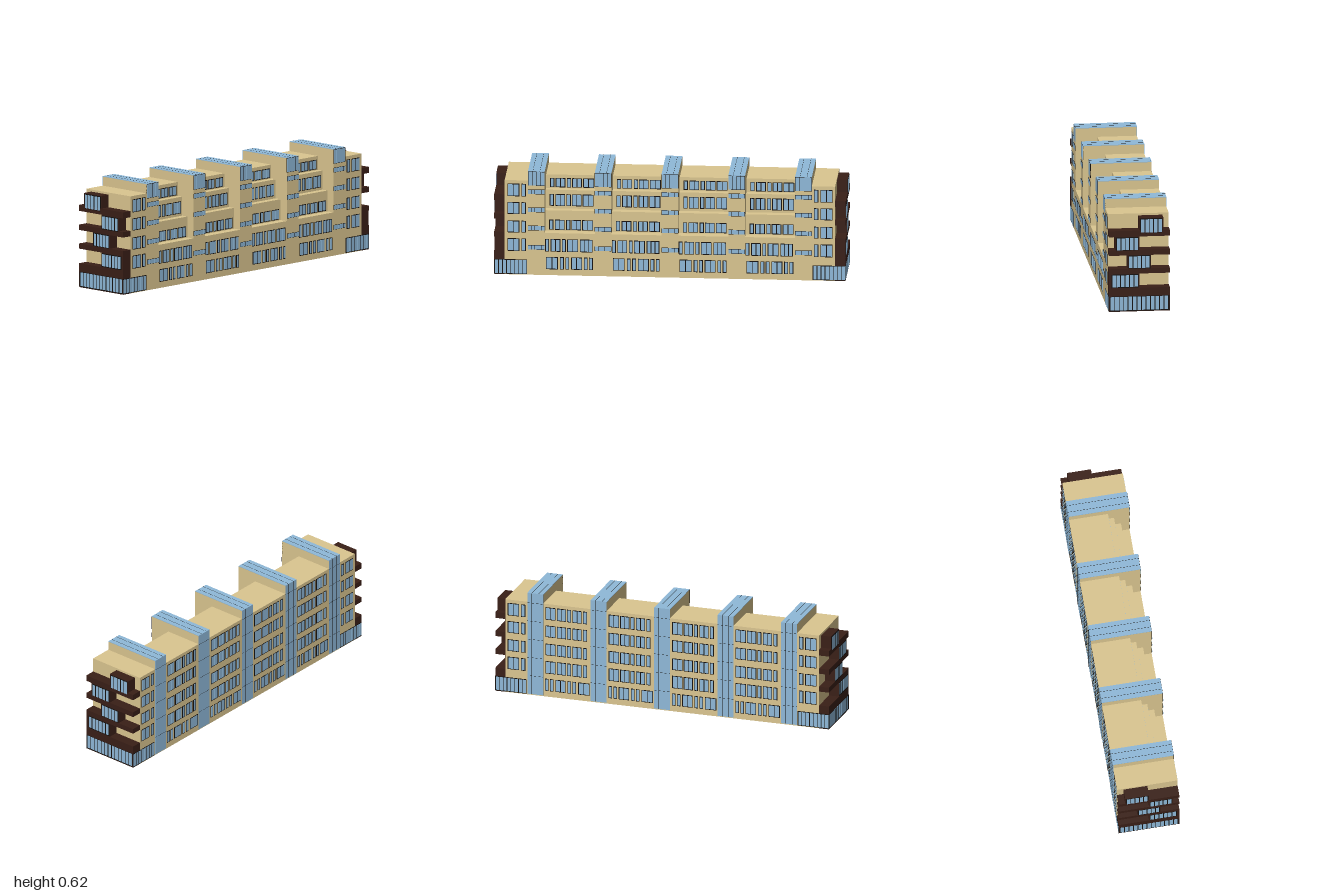
import * as THREE from 'three';
import { mergeGeometries } from 'three/addons/utils/BufferGeometryUtils.js';

const COLORS = { wall: 0xdbc690, cladding: 0x3a1f17, glass: 0x8fb9d9, frame: 0x14100e };
const D = 0.174;        // half depth
const TOWER = 0.0475;   // half width of a stair tower
const END = 0.94;       // where the dark end bays start

export function createModel() {
  const group = new THREE.Group();
  const parts = {};

  // Collects geometry per named part; each part becomes one mesh.
  const add = (name, color, geo) => {
    parts[name] ??= { color, list: [] };
    parts[name].list.push(geo);
  };
  const box = (name, color, x0, x1, y0, y1, z0, z1) => {
    const g = new THREE.BoxGeometry(Math.abs(x1 - x0), y1 - y0, Math.abs(z1 - z0));
    g.translate((x0 + x1) / 2, (y0 + y1) / 2, (z0 + z1) / 2);
    add(name, color, g);
  };

  // Framed window with n panes on a wall facing +z (s = 1) or -z (s = -1)
  const zWindow = (name, x0, x1, y0, y1, z, s, n, bar = 0.004) => {
    box(name + 'Frames', 'frame', x0, x1, y0, y1, z - s * 0.002, z + s * 0.001);
    const w = (x1 - x0 - bar) / n;
    for (let i = 0; i < n; i++) {
      const a = x0 + bar + i * w;
      box(name + 'Panes', 'glass', a, a + w - bar, y0 + bar, y1 - bar, z, z + s * 0.002);
    }
  };
  // The same on an end wall facing +x (s = 1) or -x (s = -1)
  const xWindow = (name, z0, z1, y0, y1, x, s, n, bar = 0.005) => {
    box(name + 'Frames', 'frame', x - s * 0.002, x + s * 0.0005, y0, y1, z0, z1);
    const w = (z1 - z0 - bar) / n;
    for (let i = 0; i < n; i++) {
      const a = z0 + bar + i * w;
      box(name + 'Panes', 'glass', x - s * 0.001, x + s * 0.001, y0 + bar, y1 - bar, a, a + w - bar);
    }
  };

  // Rows of windows: [offset from bay centre, width, panes]
  const groundRow = [[-0.135, 0.068, 2], [-0.055, 0.022, 1], [-0.025, 0.022, 1],
    [0.008, 0.062, 2], [0.08, 0.022, 1], [0.11, 0.022, 1]];
  const upperRow = [[-0.12, 0.024, 1], [-0.088, 0.055, 2], [-0.024, 0.024, 1],
    [0.006, 0.055, 2], [0.068, 0.062, 2]];
  const secondRow = [[-0.14, 0.022, 1], [-0.108, 0.055, 2], [-0.044, 0.022, 1],
    [-0.014, 0.062, 2], [0.058, 0.072, 3]];
  const row = (pattern, cx, y0, y1, z, s) => pattern.forEach(([o, w, n]) =>
    zWindow('bayWindow', cx + o, cx + o + w, y0, y1, z, s, n));

  // Terraced bays: stepped section extruded between the towers
  const steps = [[-D, 0], [D, 0], [D, 0.25], [0.125, 0.25], [0.125, 0.37],
    [0.085, 0.37], [0.085, 0.48], [0.05, 0.48], [0.05, 0.56], [-D, 0.56]];
  const section = new THREE.Shape(steps.map(([z, y]) => new THREE.Vector2(-z, y)));
  const backLevels = [[0.035, 0.108], [0.14, 0.215], [0.25, 0.32], [0.36, 0.43], [0.465, 0.54]];
  for (const cx of [-0.57, -0.19, 0.19, 0.57]) {
    const g = new THREE.ExtrudeGeometry(section, { depth: 0.285, bevelEnabled: false });
    g.rotateY(Math.PI / 2);
    g.translate(cx - 0.1425, 0, 0);
    add('terracedBays', 'wall', g);

    row(groundRow, cx, 0.035, 0.108, D, 1);
    row(secondRow, cx, 0.14, 0.215, D, 1);
    row(upperRow, cx, 0.255, 0.315, 0.125, 1);
    row(upperRow, cx, 0.385, 0.455, 0.085, 1);
    row(upperRow, cx, 0.485, 0.54, 0.05, 1);
    backLevels.forEach(([y0, y1], i) => row(i ? upperRow : groundRow, cx, y0, y1, -D, -1));
  }

  // Stair towers with glazed tops, glazed rear strips and front railings
  for (let i = -2; i <= 2; i++) {
    const x = i * 0.38, a = x - TOWER, b = x + TOWER;
    box('towers', 'wall', a, b, 0, 0.612, -D, D);
    box('towerRoofGlass', 'glass', a, b, 0.612, 0.615, -D, D);
    zWindow('towerFront', a, b, 0.53, 0.613, D, 1, 4, 0.002);
    box('towerRearGlass', 'glass', a, b, 0.005, 0.615, -D - 0.002, -D);
    for (const o of [-0.02, 0.02]) {
      box('towerMullions', 'frame', x + o - 0.0007, x + o + 0.0007, 0.005, 0.615, -D - 0.0026, -D);
      box('towerMullions', 'frame', x + o - 0.0007, x + o + 0.0007, 0.613, 0.6155, -D, D);
    }
    for (const y of [0.115, 0.225, 0.335, 0.445, 0.555]) {
      box('towerMullions', 'frame', a, b, y, y + 0.0012, -D - 0.0026, -D);
    }
    for (const y of [0.15, 0.265, 0.373, 0.48]) {
      zWindow('railing', a, b, y, y + 0.027, D + 0.002, 1, 5, 0.0016);
    }
  }

  // Wings and dark end bays, mirrored
  // Projecting rooms: [z0, z1, y0, y1, panes]
  const rooms = [[0, D, 0.138, 0.222, 6], [-0.067, 0.067, 0.248, 0.332, 5],
    [0, 0.137, 0.355, 0.44, 5], [-0.137, 0, 0.455, 0.548, 5]];
  const slabs = [[0.09, 0.138], [0.222, 0.252], [0.33, 0.361], [0.44, 0.475]];
  for (const m of [-1, 1]) {
    box('wings', 'wall', m * (TOWER + 0.76), m * END, 0, 0.56, -D, D);
    for (const s of [-1, 1]) {
      for (const [y0, y1] of backLevels.slice(1)) {
        const wide = [m * 0.857, m * 0.925].sort((p, q) => p - q);
        const thin = [m * 0.82, m * 0.845].sort((p, q) => p - q);
        zWindow('wingWindow', ...wide, y0, y1, s * D, s, 2);
        zWindow('wingWindow', ...thin, y0, y1, s * D, s, 1);
      }
      const shop = [m * 0.812, m * 1].sort((p, q) => p - q);
      zWindow('groundGlazing', ...shop, 0.003, 0.09, s * D, s, 8);
    }

    box('endBase', 'cladding', m * END, m * 0.999, 0, 0.09, -D, D);
    xWindow('groundEndGlazing', -D + 0.005, D - 0.005, 0.003, 0.092, m * 0.999, m, 13);
    for (const [y0, y1] of slabs) {
      box('endSlabs', 'cladding', m * END, m, y0, y1, -D, D);
    }
    for (const [z0, z1, y0, y1, n] of rooms) {
      box('endRooms', 'cladding', m * END, m * 0.999, y0, y1, z0, z1);
      xWindow('endRoom', z0 + 0.004, Math.min(z1 - 0.004, 0.16), y0 + 0.002, y1 - 0.003, m * 0.9995, m, n);
    }
  }

  // One mesh per named part
  const materials = {};
  for (const key in COLORS) materials[key] = new THREE.MeshStandardMaterial({ color: COLORS[key] });
  for (const [name, { color, list }] of Object.entries(parts)) {
    const geo = mergeGeometries(list.map((g) => (g.index ? g.toNonIndexed() : g)));
    const mesh = new THREE.Mesh(geo, materials[color]);
    mesh.name = name;
    group.add(mesh);
  }
  group.name = 'terracedBuilding';
  return group;
}
